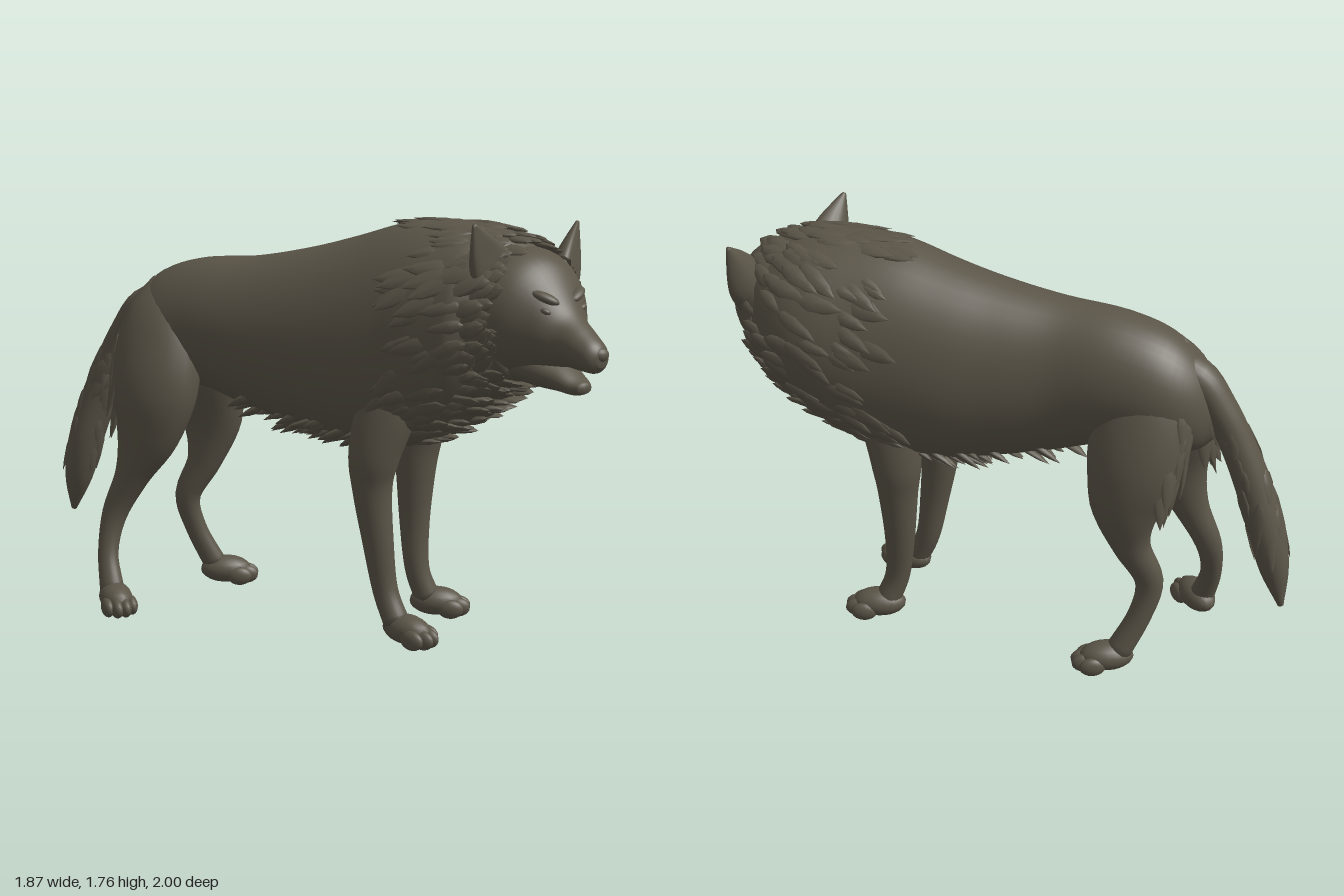
import * as THREE from 'three';
import { mergeGeometries } from 'three/addons/utils/BufferGeometryUtils.js';

const V = (x, y, z) => new THREE.Vector3(x, y, z);
const UP = V(0, 1, 0);
const fur = new THREE.MeshStandardMaterial({ color: 0x5b5548 });
fur.name = 'greyBrownFur';

let seed = 7;
const rand = () => (seed = (seed * 16807) % 2147483647) / 2147483647;
const range = (a, b) => a + (b - a) * rand();

// Smooth skin through cross-sections [x, y, z, halfWidth, halfHeight].
// ref is the direction of the half-height; cup bends sections into a shell.
function skin(rows, ref = UP, sides = 28, cup = 0) {
  const path = new THREE.CatmullRomCurve3(rows.map(r => V(r[0], r[1], r[2])), false, 'catmullrom');
  const size = new THREE.CatmullRomCurve3(rows.map(r => V(r[3], r[4], 0)), false, 'catmullrom');
  const frame = t => {
    const d = path.getTangent(t);
    if (ref === UP) d.setY(0).normalize();
    const n = ref.clone().addScaledVector(d, -ref.dot(d)).normalize();
    return { d, n, s: n.clone().cross(d) };
  };
  const at = (t, a, k = 1) => {
    const { n, s } = frame(t), r = size.getPoint(t), c = Math.cos(a);
    return path.getPoint(t)
      .addScaledVector(s, c * r.x * k)
      .addScaledVector(n, (Math.sin(a) * r.y + cup * r.x * c * c) * k);
  };
  const normal = (t, a) => {
    const { n, s } = frame(t), r = size.getPoint(t);
    return s.multiplyScalar(Math.cos(a) * r.y).addScaledVector(n, Math.sin(a) * r.x).normalize();
  };
  const steps = (rows.length - 1) * 5, pos = [], idx = [];
  for (let i = -1; i <= steps + 1; i++) {
    const t = Math.min(1, Math.max(0, i / steps)), k = i < 0 || i > steps ? 0 : 1;
    for (let j = 0; j < sides; j++) pos.push(...at(t, j / sides * Math.PI * 2, k).toArray());
  }
  for (let i = 0; i < steps + 2; i++) for (let j = 0; j < sides; j++) {
    const a = i * sides + j, b = i * sides + (j + 1) % sides;
    idx.push(a, b, a + sides, b, b + sides, a + sides);
  }
  const geo = new THREE.BufferGeometry();
  geo.setAttribute('position', new THREE.Float32BufferAttribute(pos, 3));
  geo.setIndex(idx);
  geo.computeVertexNormals();
  return { geo, at, normal, frame };
}

// One lock of fur: fat near the root, pointed at the tip
const lock = new THREE.LatheGeometry(
  [[0, -0.15], [0.7, 0], [1, 0.3], [0.65, 0.7], [0, 1]].map(p => new THREE.Vector2(...p)), 7);

// Scatter locks over part of a skin; flow gives their lie
function locks(part, count, [t0, t1], [a0, a1], flow, len, wide, thick, lift) {
  const geos = [];
  for (let i = 0; i < count; i++) {
    const t = range(t0, t1), a = range(a0, a1), n = part.normal(t, a);
    const dir = flow(part.frame(t).d).add(V(range(-0.25, 0.25), range(-0.25, 0.25), range(-0.25, 0.25)));
    dir.addScaledVector(n, -dir.dot(n)).normalize().addScaledVector(n, lift).normalize();
    const side = dir.clone().cross(n).normalize(), out = side.clone().cross(dir);
    const k = range(0.7, 1.2);
    const m = new THREE.Matrix4().makeBasis(
      side.multiplyScalar(wide * k), dir.clone().multiplyScalar(len * k), out.multiplyScalar(thick));
    m.setPosition(part.at(t, a).addScaledVector(n, -0.006).addScaledVector(dir, -len * 0.4));
    geos.push(lock.clone().applyMatrix4(m));
  }
  return mergeGeometries(geos);
}

export function createModel() {
  const wolf = new THREE.Group();
  wolf.name = 'wolf';
  const add = (name, geo, parent = wolf) => {
    const m = new THREE.Mesh(geo, fur);
    m.name = name;
    parent.add(m);
    return m;
  };
  const blob = (name, p, s, parent = wolf) => {
    const m = add(name, new THREE.SphereGeometry(1, 18, 12), parent);
    m.position.set(...p);
    m.scale.set(...s);
    return m;
  };

  // Trunk and neck: x, z, top, bottom, half-width
  const body = skin([
    [-0.68, -0.73, 1.24, 1.06, 0.06], [-0.63, -0.68, 1.36, 1.0, 0.14], [-0.53, -0.59, 1.48, 0.97, 0.205],
    [-0.39, -0.45, 1.54, 0.98, 0.225], [-0.22, -0.27, 1.56, 0.9, 0.235], [-0.04, -0.11, 1.605, 0.84, 0.27],
    [0.115, 0.025, 1.66, 0.8, 0.305], [0.26, 0.16, 1.72, 0.8, 0.33], [0.38, 0.28, 1.74, 0.84, 0.355],
    [0.5, 0.4, 1.735, 0.94, 0.365], [0.58, 0.51, 1.7, 1.06, 0.31], [0.62, 0.6, 1.64, 1.14, 0.23],
  ].map(([x, z, t, b, w]) => [x, (t + b) / 2, z, w, (t - b) / 2]), UP, 40);
  add('body', body.geo);

  // Mane, chest and belly fur
  const back = d => d.clone().multiplyScalar(-1).add(V(0, -0.45, 0));
  const TAU = Math.PI * 2;
  add('mane', locks(body, 240, [0.66, 0.96], [0, TAU], back, 0.19, 0.04, 0.014, 0.05));
  add('chestFur', locks(body, 60, [0.6, 0.9], [Math.PI * 1.15, Math.PI * 1.85], back, 0.15, 0.036, 0.018, 0.2));
  add('bellyFur', locks(body, 75, [0.34, 0.65], [Math.PI * 1.3, Math.PI * 1.7],
    d => d.clone().multiplyScalar(-1), 0.14, 0.032, 0.018, 0.5));

  // Head and lower jaw
  const head = skin([
    [0.58, 1.4, 0.45, 0.28, 0.24], [0.61, 1.4, 0.58, 0.265, 0.255], [0.635, 1.39, 0.68, 0.22, 0.225],
    [0.655, 1.36, 0.76, 0.155, 0.165], [0.675, 1.32, 0.83, 0.1, 0.108], [0.695, 1.288, 0.91, 0.078, 0.08],
    [0.71, 1.268, 0.965, 0.06, 0.06], [0.717, 1.265, 0.99, 0.026, 0.03],
  ], UP, 36);
  add('head', head.geo);
  add('lowerJaw', skin([
    [0.63, 1.22, 0.58, 0.16, 0.1], [0.65, 1.195, 0.7, 0.13, 0.083], [0.67, 1.168, 0.79, 0.088, 0.058],
    [0.69, 1.143, 0.86, 0.06, 0.038], [0.697, 1.138, 0.905, 0.03, 0.02],
  ]).geo);
  blob('nose', [0.716, 1.28, 0.972], [0.038, 0.03, 0.028]);
  for (const s of [-1, 1]) {
    const around = a => Math.PI / 2 - s * a;
    blob('brow', head.at(0.44, around(0.62), 0.95).toArray(), [0.06, 0.02, 0.03]).rotation.set(0, s * 0.7, s * 0.35);
    blob('eye', head.at(0.48, around(0.9), 0.97).toArray(), [0.022, 0.012, 0.014]).rotation.set(0, s * 0.6, s * 0.35);
  }

  // Ears: shells hollow towards the front
  const ear = (name, base, tip, face) => {
    const b = V(...base), e = V(...tip);
    const rows = [[-0.35, 0.1, 0.06], [0.1, 0.1, 0.052], [0.45, 0.075, 0.036], [0.8, 0.034, 0.018], [1, 0.008, 0.007]]
      .map(([k, w, h]) => [...b.clone().lerp(e, k).toArray(), w, h]);
    add(name, skin(rows, V(...face).normalize(), 20, 0.25).geo);
  };
  ear('rightEar', [0.42, 1.57, 0.61], [0.32, 1.76, 0.68], [0.3, -0.2, 0.9]);
  ear('leftEar', [0.82, 1.53, 0.48], [0.925, 1.725, 0.405], [0.65, 0.05, 0.7]);

  // Legs end in paws: centre x, z and heading of the toes
  const forward = V(0.7, 0, 0.7);
  const leg = (name, rows, px, pz, hx, hz) => {
    const part = skin(rows, forward, 24);
    add(name, part.geo);
    const paw = new THREE.Group();
    paw.name = name + 'Paw';
    paw.position.set(px, 0, pz);
    paw.rotation.y = Math.atan2(hx, hz);
    wolf.add(paw);
    blob('pawBase', [0, 0.072, -0.015], [0.07, 0.062, 0.115], paw);
    [-0.052, -0.018, 0.018, 0.052].forEach((x, i) =>
      blob('toe', [x, 0.05, i % 3 ? 0.078 : 0.05], [0.027, 0.042, 0.056], paw));
    return part;
  };
  const hindRight = leg('hindRightLeg', [
    [-0.53, 1.44, -0.55, 0.05, 0.08], [-0.575, 1.3, -0.5, 0.115, 0.17], [-0.615, 1.12, -0.46, 0.135, 0.2],
    [-0.645, 0.95, -0.44, 0.13, 0.195],
    [-0.675, 0.78, -0.45, 0.095, 0.145], [-0.73, 0.6, -0.5, 0.065, 0.08], [-0.8, 0.42, -0.55, 0.048, 0.058],
    [-0.84, 0.25, -0.53, 0.04, 0.046], [-0.842, 0.09, -0.47, 0.048, 0.055]], -0.836, -0.42, -0.02, 1);
  const hindLeft = leg('hindLeftLeg', [
    [-0.5, 1.42, -0.57, 0.05, 0.08], [-0.45, 1.28, -0.59, 0.11, 0.17], [-0.4, 1.12, -0.62, 0.135, 0.2],
    [-0.355, 0.95, -0.645, 0.13, 0.195],
    [-0.32, 0.78, -0.65, 0.1, 0.145], [-0.35, 0.6, -0.66, 0.068, 0.082], [-0.42, 0.43, -0.7, 0.05, 0.06],
    [-0.385, 0.27, -0.7, 0.042, 0.05], [-0.3, 0.09, -0.675, 0.048, 0.055]], -0.245, -0.65, 0.9, 0.35);
  leg('frontRightLeg', [
    [0.2, 1.25, 0.27, 0.04, 0.08], [0.14, 1.03, 0.3, 0.085, 0.13], [0.08, 0.8, 0.29, 0.09, 0.11],
    [0.075, 0.65, 0.28, 0.075, 0.085], [0.095, 0.42, 0.3, 0.058, 0.066], [0.12, 0.22, 0.32, 0.05, 0.054],
    [0.15, 0.09, 0.37, 0.055, 0.055]], 0.185, 0.425, 0.45, 0.85);
  leg('frontLeftLeg', [
    [0.35, 1.25, 0.15, 0.04, 0.08], [0.38, 1.03, 0.1, 0.085, 0.13], [0.375, 0.8, 0.06, 0.09, 0.11],
    [0.37, 0.65, 0.06, 0.077, 0.087], [0.365, 0.42, 0.065, 0.058, 0.066], [0.37, 0.22, 0.085, 0.05, 0.054],
    [0.41, 0.09, 0.105, 0.055, 0.055]], 0.46, 0.125, 0.85, 0.45);

  // Feathering behind the thighs
  for (const part of [hindRight, hindLeft])
    add('thighFur', locks(part, 24, [0.22, 0.46], [Math.PI * 1.3, Math.PI * 1.7],
      d => d.clone(), 0.17, 0.03, 0.015, 0.08));

  // Tail
  const tail = skin([
    [-0.5, 1.38, -0.57, 0.05, 0.05], [-0.61, 1.32, -0.67, 0.08, 0.068], [-0.68, 1.19, -0.74, 0.075, 0.068],
    [-0.735, 1.05, -0.79, 0.072, 0.07], [-0.79, 0.88, -0.84, 0.08, 0.074], [-0.84, 0.68, -0.89, 0.088, 0.075],
    [-0.868, 0.5, -0.935, 0.066, 0.06], [-0.885, 0.34, -0.98, 0.012, 0.012]], forward, 24);
  add('tail', tail.geo);
  add('tailFur', locks(tail, 32, [0.4, 0.8], [0, TAU], d => d.clone(), 0.18, 0.03, 0.011, 0.03));

  return wolf;
}
